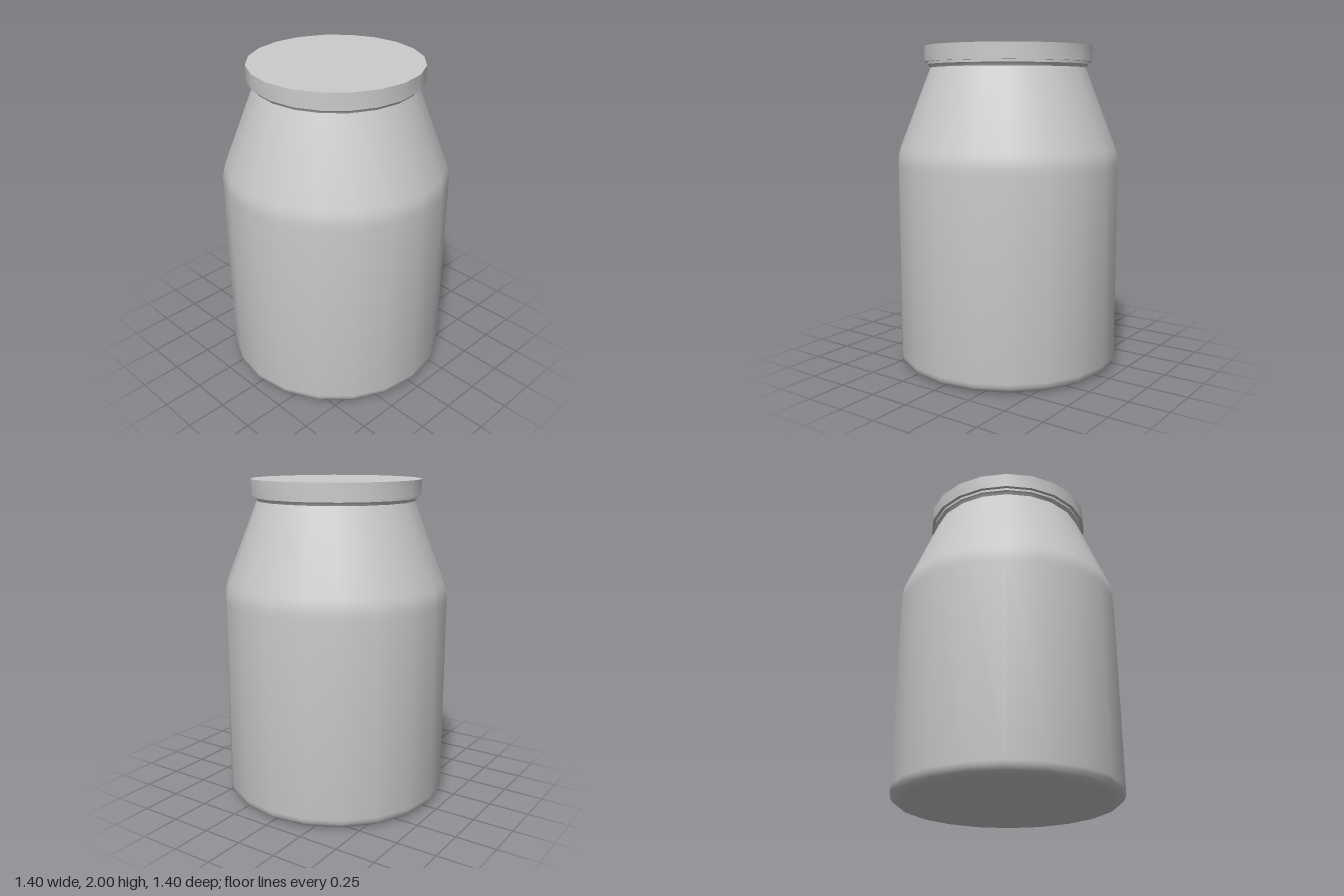
import * as THREE from 'three';
import { toCreasedNormals } from 'three/addons/utils/BufferGeometryUtils.js';

const SIDES = 20;

export function createModel() {
  const group = new THREE.Group();
  group.name = 'jar';
  const material = new THREE.MeshStandardMaterial({ color: 0xcccccc });

  // Turns a radius/height outline, listed from bottom to top, into a round part
  const addTurned = (name, outline) => {
    const points = outline.map(([r, y]) => new THREE.Vector2(r, y));
    const geometry = toCreasedNormals(new THREE.LatheGeometry(points, SIDES), THREE.MathUtils.degToRad(36));
    const mesh = new THREE.Mesh(geometry, material);
    mesh.name = name;
    group.add(mesh);
  };

  // Rounded base edge
  const base = [];
  for (let i = 0; i <= 4; i++) {
    const a = (i / 4) * Math.PI / 2;
    base.push([0.635 + 0.065 * Math.sin(a), 0.065 - 0.065 * Math.cos(a)]);
  }

  // Straight wall, soft shoulder, sloping upper body and short flared neck
  addTurned('body', [
    [0, 0], ...base,
    [0.7, 1.26], [0.699, 1.3], [0.694, 1.335], [0.683, 1.375],
    [0.488, 1.87], [0.49, 1.875], [0.505, 1.89], [0.505, 1.905],
  ]);

  // Flat lid overhanging the neck
  addTurned('lid', [[0, 1.905], [0.526, 1.905], [0.526, 2], [0, 2]]);

  return group;
}
